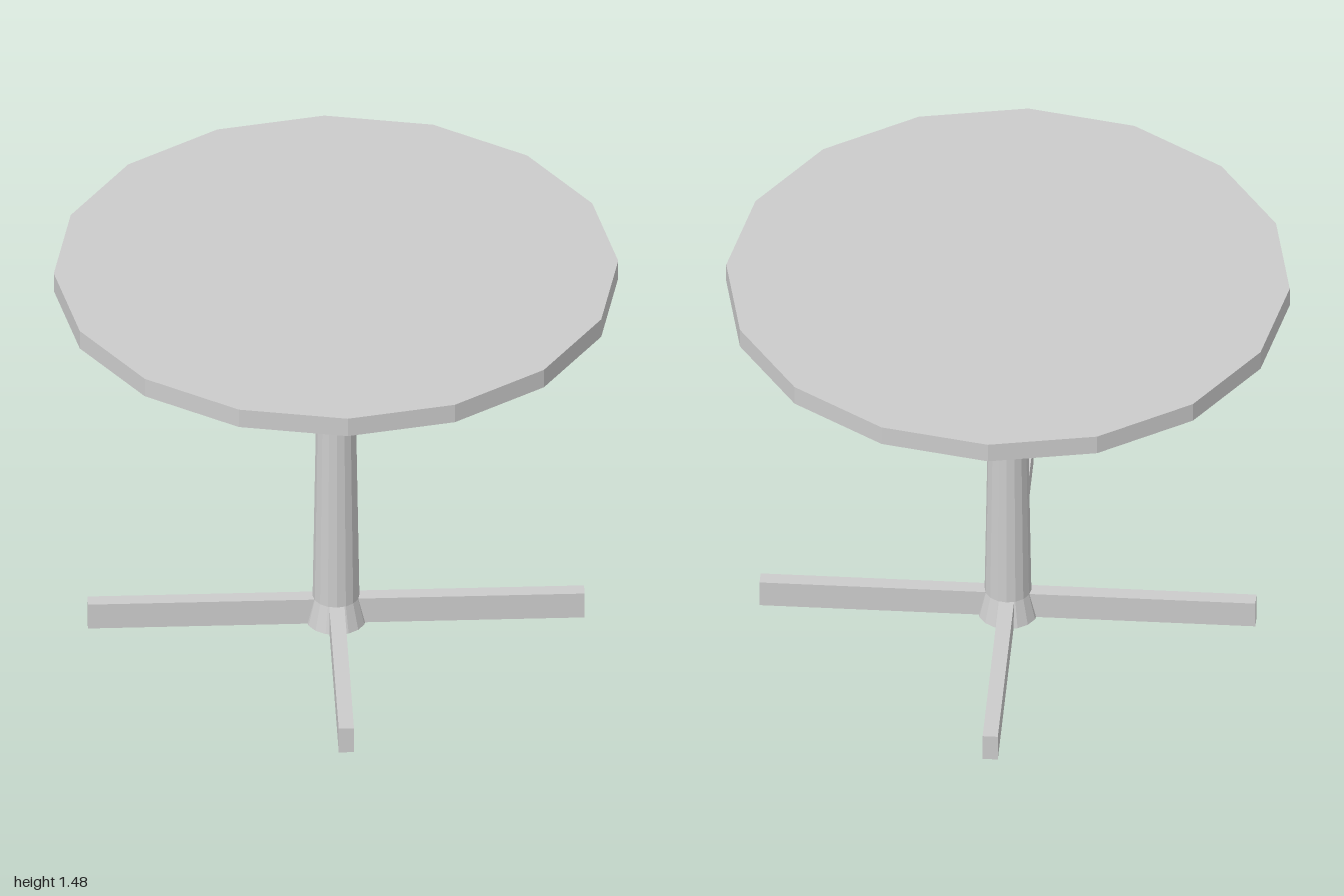
import * as THREE from 'three';

const SIDES = 16;

export function createModel() {
  const table = new THREE.Group();
  table.name = 'pedestalTable';
  const material = new THREE.MeshStandardMaterial({ color: 0xcccccc, flatShading: true });

  const add = (name, geometry, y) => {
    const mesh = new THREE.Mesh(geometry, material);
    mesh.name = name;
    mesh.position.y = y;
    table.add(mesh);
    return mesh;
  };
  // Faceted round part between two heights
  const drum = (name, rBottom, rTop, y0, y1) =>
    add(name, new THREE.CylinderGeometry(rTop, rBottom, y1 - y0, SIDES), (y0 + y1) / 2);

  drum('tableTop', 1, 1, 1.403, 1.476);

  // Tapered column with a flared foot, closed at both ends
  const profile = [[0, 0], [0.107, 0], [0.083, 0.1], [0.062, 1.403], [0, 1.403]]
    .map(([r, y]) => new THREE.Vector2(r, y));
  add('column', new THREE.LatheGeometry(profile, SIDES), 0);

  // Four legs in a cross, each reaching out from inside the foot
  const inner = 0.03, outer = 0.88, height = 0.1;
  for (let i = 0; i < 4; i++) {
    const geometry = new THREE.BoxGeometry(outer - inner, height, 0.054);
    geometry.translate((outer + inner) / 2, 0, 0);
    add('leg' + (i + 1), geometry, height / 2).rotation.y = (i * Math.PI) / 2;
  }

  return table;
}
